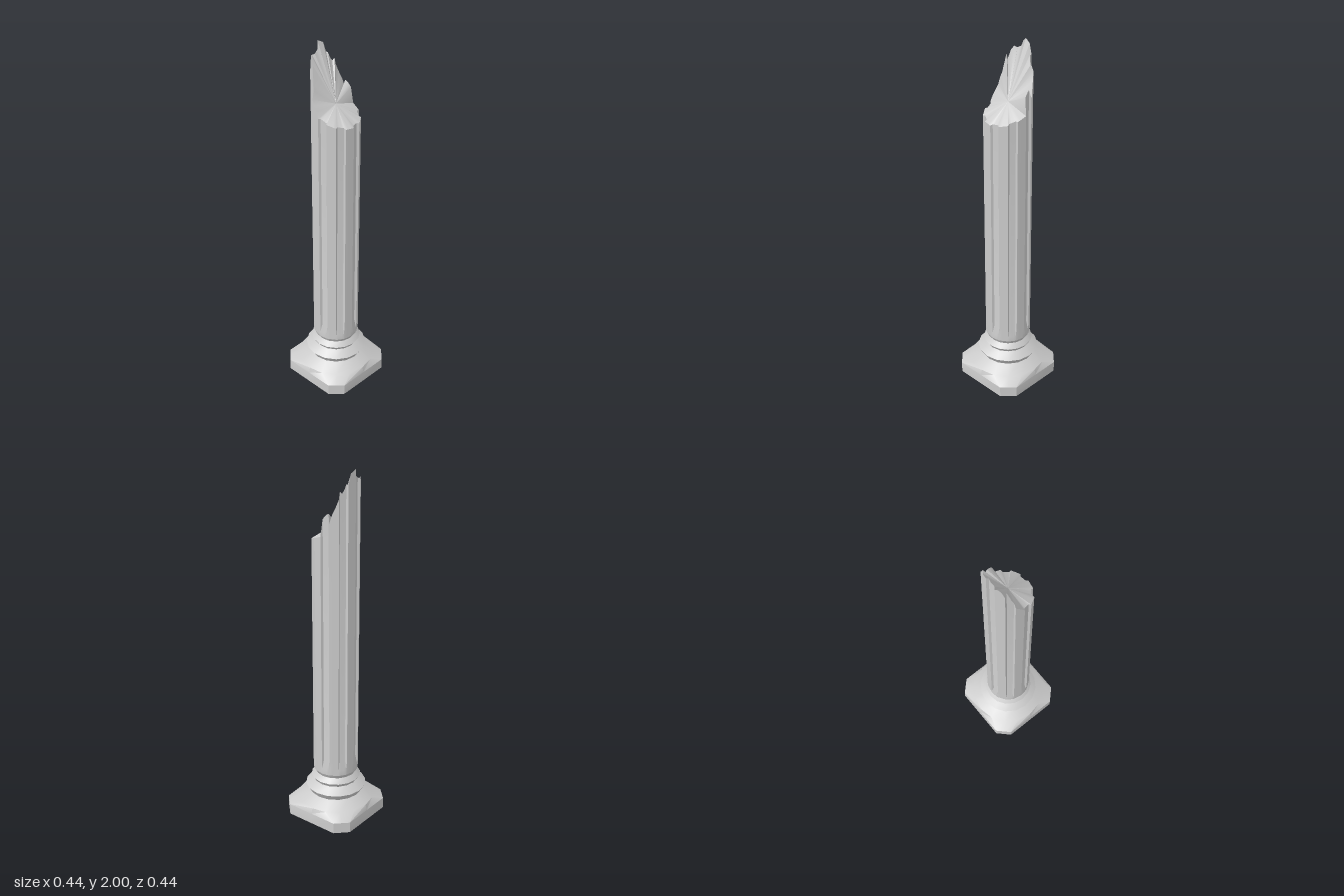
import * as THREE from 'three';
import { toCreasedNormals } from 'three/addons/utils/BufferGeometryUtils.js';

const SIDES = 16, STEP = (Math.PI * 2) / SIDES;
const R = 0.126, FLOOR = 0.114; // shaft radius, flute floor radius

const stone = new THREE.MeshStandardMaterial({ color: 0xcccccc, side: THREE.DoubleSide });

// Skin a stack of closed rings (equal point counts) from bottom to top
function loft(rings, crease) {
  const n = rings[0].length, index = [];
  for (let j = 0; j < rings.length - 1; j++) {
    for (let i = 0; i < n; i++) {
      const a = j * n + i, b = j * n + ((i + 1) % n);
      index.push(a, a + n, b, b, a + n, b + n);
    }
  }
  const geo = new THREE.BufferGeometry().setFromPoints(rings.flat());
  geo.setIndex(index);
  return toCreasedNormals(geo, crease);
}

const circle = (r, y) => Array.from({ length: SIDES }, (_, i) =>
  new THREE.Vector3(r * Math.cos(i * STEP), y, r * Math.sin(i * STEP)));

// Square with cut corners, using the same 16 points as the round mouldings
function plinthRing(y) {
  const h = 0.222, c = 0.157, m = (h + c) / 2;
  const quarter = [[h, 0], [h, c], [m, m], [c, h]];
  const pts = [];
  for (let q = 0; q < 4; q++) {
    for (let [x, z] of quarter) {
      for (let k = 0; k < q; k++) [x, z] = [-z, x];
      pts.push(new THREE.Vector3(x, y, z));
    }
  }
  return pts;
}

// Shaft cross-section: flat ridges alternating with flutes of the given depth
function flutedRing(depth, heightAt) {
  const pts = [], inset = 0.05;
  const corner = (a, r) => [r * Math.cos(a), r * Math.sin(a)];
  for (let i = 0; i < SIDES; i++) {
    const flute = i % 2 === 1;
    const r = flute ? R - depth : R, s = flute ? inset : 0;
    const p = corner(i * STEP + s, r), q = corner((i + 1) * STEP - s, r);
    for (let k = 0; k <= 3; k++) {
      const x = THREE.MathUtils.lerp(p[0], q[0], k / 3);
      const z = THREE.MathUtils.lerp(p[1], q[1], k / 3);
      pts.push(new THREE.Vector3(x, heightAt(x, z), z));
    }
  }
  return pts;
}

// Ragged outline of the tall back half, as x and height
const ragged = [
  [-0.127, 1.66], [-0.112, 1.78], [-0.1, 1.79], [-0.085, 1.91], [-0.055, 1.96], [-0.048, 1.94],
  [-0.016, 1.96], [-0.005, 1.99], [0, 2], [0.037, 1.98], [0.042, 1.95], [0.064, 1.88],
  [0.08, 1.9], [0.1, 1.81], [0.111, 1.77], [0.127, 1.66],
];

// The break slopes gently at the front and steeply at the back
function breakHeight(x, z) {
  if (z > -0.001) return 1.66 - 0.4 * z;
  const i = Math.max(1, ragged.findIndex((p) => p[0] >= x));
  const [x0, y0] = ragged[i - 1], [x1, y1] = ragged[i];
  return THREE.MathUtils.mapLinear(x, x0, x1, y0, y1);
}

// Broken face: a fan from the rim to a raised centre
function fan(rim, apexY) {
  const n = rim.length, index = [];
  for (let i = 0; i < n; i++) index.push(n, (i + 1) % n, i);
  const geo = new THREE.BufferGeometry().setFromPoints([...rim, new THREE.Vector3(0, apexY, 0)]);
  geo.setIndex(index);
  return toCreasedNormals(geo, 0.6);
}

export function createModel() {
  const model = new THREE.Group();
  model.name = 'brokenColumn';
  const add = (name, geo) => {
    const mesh = new THREE.Mesh(geo, stone);
    mesh.name = name;
    model.add(mesh);
  };

  // Plinth flowing into stepped round mouldings, open underneath
  const mouldings = [
    [0.213, 0.095], [0.148, 0.137], [0.17, 0.173], [0.124, 0.208],
    [0.138, 0.23], [0.114, 0.257], [R, 0.28],
  ];
  add('base', loft([plinthRing(0), plinthRing(0.063), ...mouldings.map(([r, y]) => circle(r, y))], 0.65));

  // Fluted shaft, flutes fading out near the foot
  const rim = flutedRing(R - FLOOR, breakHeight);
  add('shaft', loft([
    flutedRing(0, () => 0.28),
    flutedRing(0, () => 0.31),
    flutedRing(R - FLOOR, () => 0.365),
    rim,
  ], 0.6));

  add('brokenTop', fan(rim, 1.7));
  return model;
}
